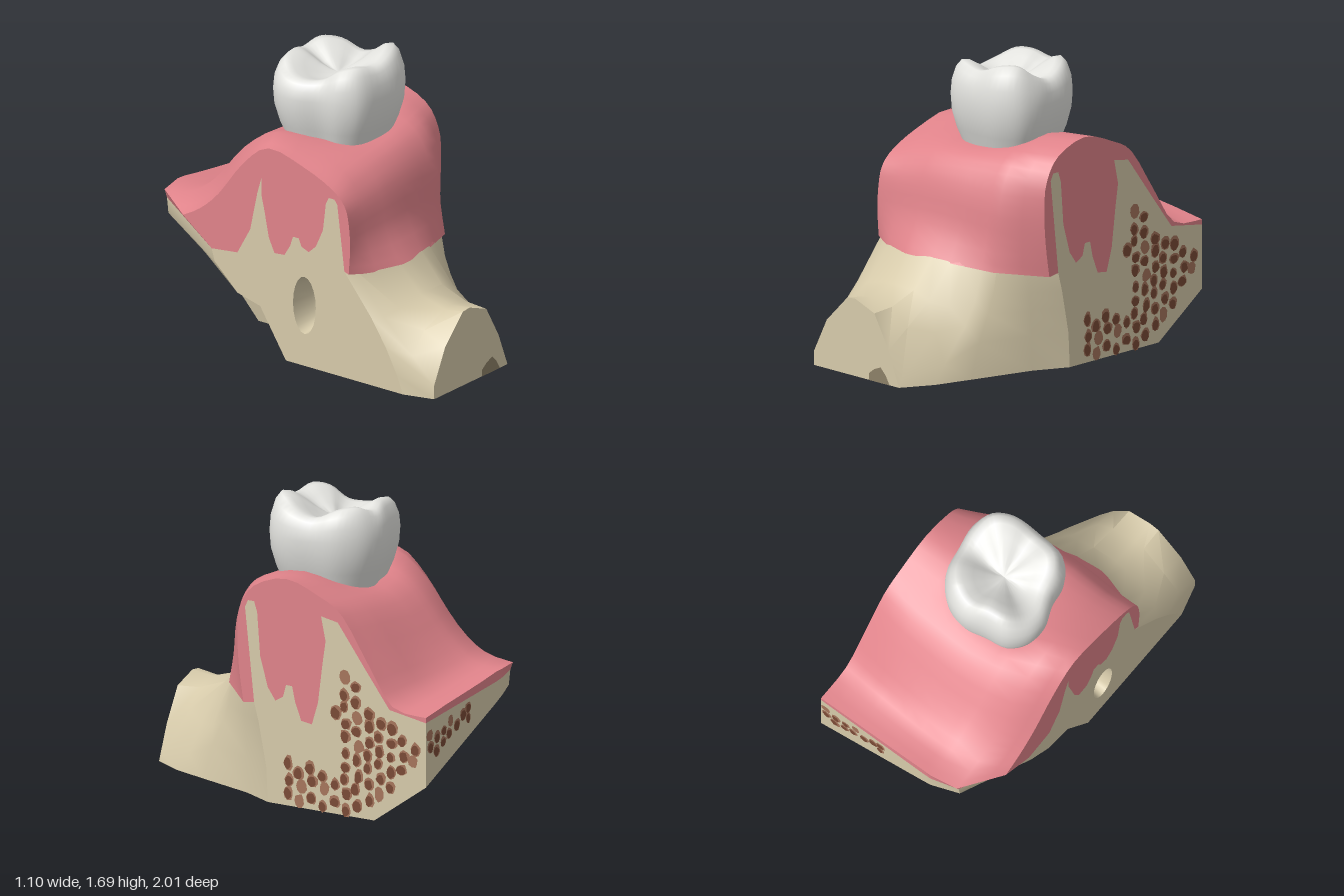
import * as THREE from 'three';
import { mergeGeometries, toCreasedNormals } from 'three/addons/utils/BufferGeometryUtils.js';

const mat = (name, color) => new THREE.MeshStandardMaterial({ name, color });
const lerp = THREE.MathUtils.lerp;

// Skin through closed rings of [x, y, z] points
function loft(rings, crease) {
  const n = rings[0].length, index = [];
  for (let i = 0; i < rings.length - 1; i++) {
    for (let j = 0; j < n; j++) {
      const k = (j + 1) % n, a = i * n + j, b = i * n + k, c = b + n, d = a + n;
      index.push(a, b, c, a, c, d);
    }
  }
  const g = new THREE.BufferGeometry();
  g.setAttribute('position', new THREE.Float32BufferAttribute(rings.flat(2), 3));
  g.setIndex(index);
  return toCreasedNormals(g, crease);
}

// Flat polygon facing along an axis; points are [z, y] on x faces and [x, y] on the back
function flat(points, face, at, hole) {
  const sign = face === 'left' ? -1 : 1;
  const v = p => new THREE.Vector2((face === 'right' || face === 'back' ? -1 : 1) * p[0], p[1]);
  const shape = new THREE.Shape(points.map(v));
  if (hole) shape.holes.push(new THREE.Path(hole.map(v)));
  const g = new THREE.ShapeGeometry(shape);
  if (face === 'back') return g.rotateY(Math.PI).translate(0, 0, at);
  return g.rotateY(sign * Math.PI / 2).translate(at, 0, 0);
}

const ellipse = (cz, cy, rz, ry, n = 20) => Array.from({ length: n }, (_, i) => {
  const a = i / n * Math.PI * 2;
  return [cz + rz * Math.cos(a), cy + ry * Math.sin(a)];
});

// Smooth curve through section points
const smooth = (points, n) => new THREE.SplineCurve(points.map(p => new THREE.Vector2(...p)))
  .getPoints(n).map(p => [p.x, p.y]);

function inside(p, poly) {
  let hit = false;
  poly.forEach((a, i) => {
    const b = poly[(i + 1) % poly.length];
    if ((a[1] > p[1]) !== (b[1] > p[1]) &&
        p[0] < (b[0] - a[0]) * (p[1] - a[1]) / (b[1] - a[1]) + a[0]) hit = !hit;
  });
  return hit;
}

// Slices across the jaw, from +x to -x; each section is [z, y] points
const xs = [0.54, 0.44, 0.33, 0.26, 0.16, 0.08, -0.03, -0.18, -0.24, -0.4, -0.5, -0.55];

// Front slope of the bone, bottom to gum line
const front = [
  [[0.04, 0], [0.05, 0.2], [0.08, 0.35], [0.1, 0.45], [0.13, 0.56]],
  [[0.24, 0], [0.24, 0.2], [0.25, 0.35], [0.26, 0.45], [0.27, 0.58]],
  [[0.6, 0], [0.54, 0.2], [0.47, 0.35], [0.43, 0.45], [0.4, 0.6]],
  [[0.82, 0], [0.74, 0.1], [0.58, 0.29], [0.5, 0.42], [0.44, 0.61]],
  [[1, 0], [0.98, 0.04], [0.72, 0.26], [0.6, 0.38], [0.48, 0.62]],
  [[1, 0], [1, 0.2], [0.85, 0.3], [0.68, 0.42], [0.5, 0.63]],
  [[1, 0], [1, 0.39], [0.86, 0.4], [0.69, 0.46], [0.53, 0.64]],
  [[1, 0], [1, 0.445], [0.87, 0.43], [0.7, 0.47], [0.54, 0.64]],
  [[1, 0], [1, 0.44], [0.87, 0.42], [0.7, 0.47], [0.53, 0.64]],
  [[1, 0], [1, 0.28], [0.85, 0.34], [0.68, 0.43], [0.5, 0.63]],
  [[1, 0], [1, 0.08], [0.85, 0.22], [0.65, 0.4], [0.45, 0.63]],
  [[0.82, 0], [0.78, 0.1], [0.7, 0.25], [0.6, 0.4], [0.41, 0.63]],
];

// Thin front plate and the root sockets behind it
const socket = [[0.19, 1.1], [0.17, 1.14], [0.13, 1.14], [0.11, 1.08], [0.09, 0.83], [0.04, 0.66],
  [-0.01, 0.59], [-0.06, 0.62], [-0.08, 0.69], [-0.12, 0.69], [-0.14, 0.6], [-0.18, 0.5],
  [-0.25, 0.49], [-0.29, 0.62], [-0.32, 0.85], [-0.34, 0.98]];

// Rear slope, back face and underside, given at a few x positions
const rearKeys = [
  [0.54, [[-0.31, 1.12], [-0.42, 1.1], [-0.6, 0.86], [-0.76, 0.65], [-1, 0.61], [-1, 0.24], [-0.66, 0], [-0.3, 0], [0, 0]]],
  [-0.18, [[-0.29, 1.08], [-0.38, 1.05], [-0.6, 0.84], [-0.78, 0.66], [-1, 0.68], [-1, 0.56], [-0.48, 0], [-0.2, 0], [0.04, 0]]],
  [-0.24, [[-0.28, 1.08], [-0.36, 1.04], [-0.59, 0.83], [-0.78, 0.68], [-1, 0.69], [-1, 0.59], [-0.5, 0.3], [-0.04, 0.24], [0.05, 0]]],
  [-0.4, [[-0.24, 1.06], [-0.3, 1], [-0.5, 0.8], [-0.74, 0.7], [-0.95, 0.69], [-0.94, 0.6], [-0.45, 0.34], [-0.12, 0.27], [0.03, 0]]],
  [-0.55, [[-0.17, 1.05], [-0.2, 0.95], [-0.25, 0.72], [-0.34, 0.56], [-0.52, 0.54], [-0.5, 0.47], [-0.34, 0.32], [-0.18, 0.28], [0, 0]]],
];

// Outer surface of the gum, front edge over the ridge to the back
const gumKeys = [
  [0.54, [[0.2, 0.55], [0.23, 0.75], [0.24, 0.95], [0.22, 1.1], [0.13, 1.23], [-0.08, 1.3], [-0.3, 1.23], [-0.45, 1.14], [-0.62, 0.89], [-0.78, 0.67], [-1, 0.64]]],
  [0.33, [[0.43, 0.58], [0.4, 0.75], [0.38, 0.95], [0.32, 1.12], [0.2, 1.23], [-0.05, 1.29], [-0.3, 1.21], [-0.47, 1.12], [-0.65, 0.89], [-0.8, 0.7], [-1, 0.67]]],
  [0, [[0.55, 0.61], [0.46, 0.78], [0.42, 0.98], [0.36, 1.11], [0.25, 1.19], [0, 1.2], [-0.3, 1.17], [-0.47, 1.09], [-0.66, 0.87], [-0.82, 0.73], [-1, 0.71]]],
  [-0.2, [[0.57, 0.61], [0.47, 0.78], [0.43, 0.97], [0.38, 1.09], [0.27, 1.18], [0.02, 1.22], [-0.27, 1.2], [-0.45, 1.11], [-0.65, 0.88], [-0.82, 0.75], [-1, 0.74]]],
  [-0.38, [[0.53, 0.6], [0.46, 0.78], [0.43, 0.95], [0.38, 1.06], [0.28, 1.16], [0.05, 1.24], [-0.2, 1.27], [-0.42, 1.13], [-0.62, 0.9], [-0.8, 0.77], [-1, 0.74]]],
  [-0.55, [[0.44, 0.62], [0.45, 0.78], [0.44, 0.92], [0.41, 1.02], [0.32, 1.1], [0.13, 1.18], [-0.12, 1.235], [-0.3, 1.1], [-0.47, 0.88], [-0.6, 0.76], [-0.72, 0.69]]],
];

// Section at x, blended between the neighbouring keys
function sectionAt(keys, x) {
  let i = 0;
  while (i < keys.length - 2 && x < keys[i + 1][0]) i++;
  const [xa, a] = keys[i], [xb, b] = keys[i + 1], t = (x - xa) / (xb - xa);
  return a.map((p, j) => [lerp(p[0], b[j][0], t), lerp(p[1], b[j][1], t)]);
}

export function createModel() {
  const model = new THREE.Group();
  const bone = mat('bone', 0xd6caaa), gum = mat('gum', 0xe0838a), enamel = mat('enamel', 0xe2e2de);
  const marrow = mat('marrow', 0xa5755c), pore = mat('marrowPore', 0x7a4a35), canal = mat('canal', 0x8c8067);
  bone.side = gum.side = THREE.DoubleSide;
  const add = (name, geometry, material) => {
    const mesh = new THREE.Mesh(geometry, material);
    mesh.name = name;
    model.add(mesh);
  };

  // Jaw bone and gum share the line along the ridge and sockets
  const boneRings = [], gumRings = [];
  xs.forEach((x, i) => {
    const t = (0.54 - x) / 1.09;
    const sockets = socket.map(([z, y]) => [z + 0.17 * t, y + t * (0.13 - 0.35 * (y - 0.49))]);
    const rear = sectionAt(rearKeys, x);
    boneRings.push([...front[i], ...sockets, ...rear]);
    gumRings.push([...smooth(sectionAt(gumKeys, x), 30), ...[front[i][4], ...sockets, ...rear.slice(0, 5)].reverse()]);
  });
  const to3D = rings => rings.map((r, i) => r.map(([z, y]) => [xs[i], y, z]));
  const last = xs.length - 1;
  const hole = ellipse(0.13, 0.36, 0.08, 0.17);
  add('jawBone', loft(to3D(boneRings), 0.7), bone);
  add('boneCutRight', flat(boneRings[0], 'right', xs[0]), bone);
  add('boneCutLeft', flat(boneRings[last], 'left', xs[last], hole), bone);
  add('gum', loft(to3D(gumRings), 1.1), gum);
  add('gumCutRight', flat(gumRings[0], 'right', xs[0]), gum);
  add('gumCutLeft', flat(gumRings[last], 'left', xs[last]), gum);

  // Nerve canal: recess in one cut and its small opening at the front
  const bore = [[-0.55, 1], [-0.4, 0.85], [-0.28, 0.4], [-0.25, 0.01]].map(([x, s]) =>
    hole.map(([z, y]) => [x, 0.36 + (y - 0.36) * s, 0.13 + (z - 0.13) * s]));
  add('canalRecess', loft(bore, 1), bone);
  const opening = new THREE.Shape([[-0.07, 0], [0.09, 0], [0.06, 0.05], [0.02, 0.09], [-0.03, 0.07], [-0.07, 0.04]]
    .map(p => new THREE.Vector2(...p)));
  add('canalOpening', new THREE.ShapeGeometry(opening).translate(0, 0, 1.002), canal);

  // Spongy marrow: irregular cells with darker pores on the cut faces
  let seed = 7;
  const rand = () => (seed = (seed * 16807) % 2147483647) / 2147483647;
  const blob = (c, rx, ry) => ellipse(c[0], c[1], rx, ry, 9).map(p => {
    const k = 0.85 + 0.3 * rand();
    return [c[0] + (p[0] - c[0]) * k, c[1] + (p[1] - c[1]) * k];
  });
  function spongy(name, region, face, at, out, step) {
    const cells = [], pores = [];
    for (let u = -1, row = 0; u < 0.6; u += step, row++) {
      for (let y = step * (row % 2 ? 0.55 : 1.05); y < 0.9; y += step * 1.1) {
        const c = [u + (rand() - 0.5) * step * 0.3, y + (rand() - 0.5) * step * 0.3];
        if (!inside(c, region)) continue;
        const rx = step * (0.38 + 0.14 * rand()), ry = step * (0.44 + 0.16 * rand());
        cells.push(flat(blob(c, rx, ry), face, at + out * 0.003));
        if (rand() < 0.85) pores.push(flat(blob([c[0] + 0.004, c[1] - 0.005], rx * 0.78, ry * 0.78), face, at + out * 0.006));
      }
    }
    add(name + 'Cells', mergeGeometries(cells), marrow);
    add(name + 'Pores', mergeGeometries(pores), pore);
  }
  spongy('sideMarrow', [[-0.45, 0.83], [-0.4, 0.55], [-0.45, 0.42], [-0.48, 0.22], [-0.38, 0.18], [-0.3, 0.26], [-0.18, 0.25],
    [-0.05, 0.32], [-0.09, 0.03], [-0.52, 0.03], [-0.74, 0.17], [-0.97, 0.36], [-0.97, 0.53], [-0.74, 0.56], [-0.6, 0.7]],
  'right', 0.54, 1, 0.075);
  spongy('backMarrow', [[0.53, 0.4], [0.53, 0.55], [0.08, 0.62], [0.08, 0.54]], 'back', -1, -1, 0.065);

  // Molar crown: the rim outline [x, height, z] is scaled up from the neck, then into the grooves
  const rim = new THREE.CatmullRomCurve3([
    [0.31, 1.58, -0.08], [0.27, 1.63, -0.24], [0.17, 1.645, -0.35], [0.04, 1.61, -0.39], [-0.1, 1.64, -0.36],
    [-0.24, 1.63, -0.33], [-0.325, 1.58, -0.23], [-0.335, 1.56, -0.11], [-0.285, 1.57, 0.02], [-0.26, 1.635, 0.15],
    [-0.18, 1.655, 0.24], [0, 1.63, 0.265], [0.17, 1.675, 0.255], [0.29, 1.68, 0.18], [0.33, 1.62, 0.06],
  ].map(p => new THREE.Vector3(...p)), true).getPoints(60).slice(0, 60);
  const levels = [[0.68, 1.05, 0], [0.79, 1.18, 0], [0.9, 1.27, 0], [0.98, 1.37, 0], [1, 1.46, 0.1], [0.98, 1.53, 0.4],
    [0.91, 1.59, 0.8], [0.82, 1.62, 1], [0.7, 1.618, 1], [0.52, 1.59, 0.9], [0.34, 1.56, 0.6], [0.16, 1.54, 0.3], [0.001, 1.53, 0]];
  const crown = levels.map(([s, y, cusp]) =>
    rim.map(p => [p.x * s, y + cusp * (p.y - 1.62), -0.06 + (p.z + 0.06) * s]));
  add('molarCrown', loft(crown, 1.1), enamel);

  return model;
}
